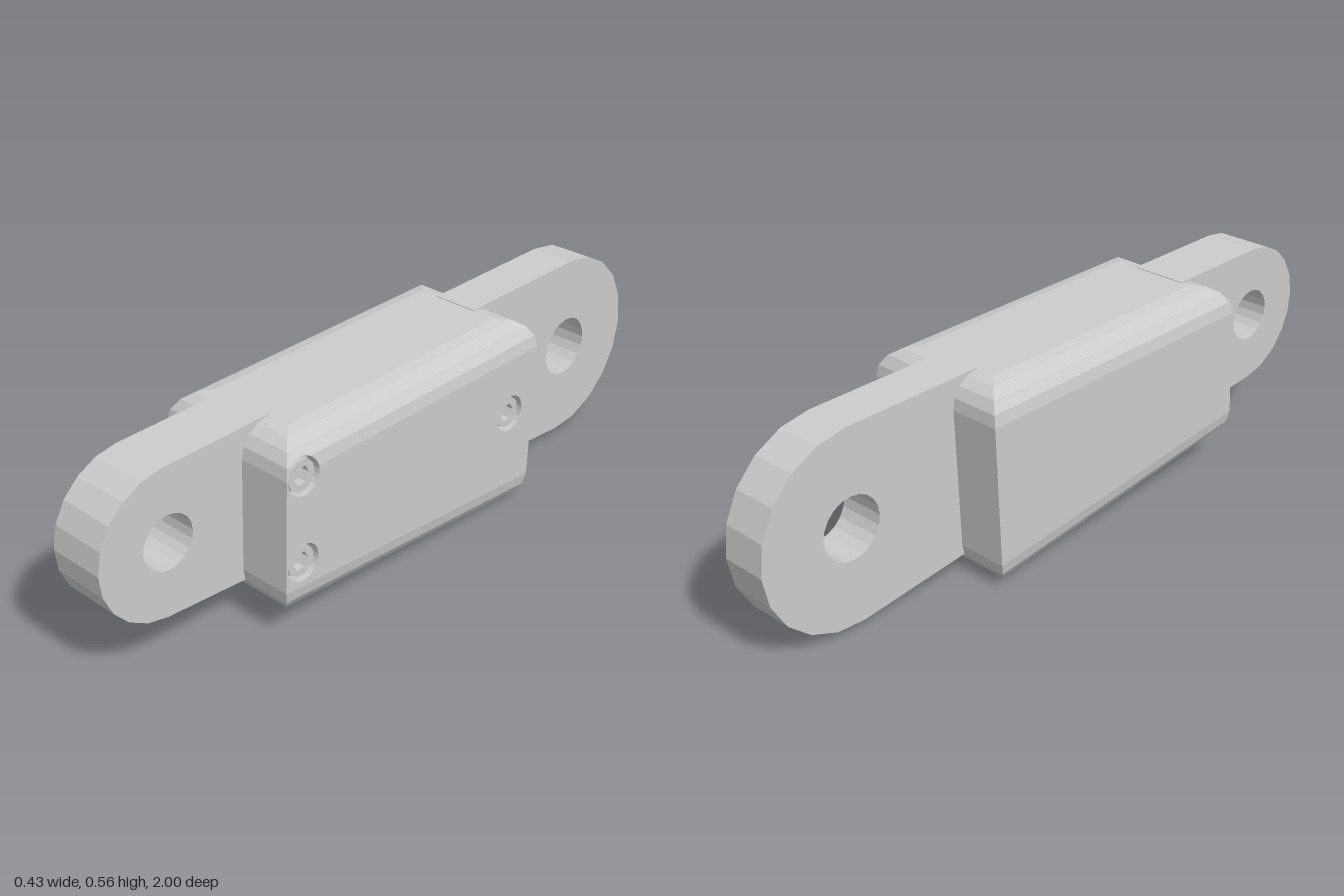
import * as THREE from 'three';

const W = 0.213, R = 0.085, TOP = 0.56, STEPS = 4;
const SLOPE = 0.089;
const bottomY = (z) => 0.026 + SLOPE * z;
const frontZ = (y) => 0.575 - 0.045 * y;
const backZ = (y) => -0.366 - 0.045 * y;

// Rounded edge profile: height from the flat face and inset from the wall
const fillet = Array.from({ length: STEPS + 1 }, (_, a) => {
  const t = (a / STEPS) * Math.PI / 2;
  return { h: R * (1 - Math.cos(t)), i: R * (1 - Math.sin(t)) };
});

function insetAt(h) {
  for (let a = 0; a < STEPS; a++) {
    const p = fillet[a], q = fillet[a + 1];
    if (h <= q.h) return p.i + (q.i - p.i) * Math.max(0, (h - p.h) / (q.h - p.h));
  }
  return 0;
}
const surfaceX = (z, y) => W - Math.max(insetAt(TOP - y), insetAt(y - bottomY(z)));

const screws = [[0.497, 0.465], [0.508, 0.225], [-0.28, 0.31]];
const HOLE = 0.052;

function flatGeometry(pos) {
  const g = new THREE.BufferGeometry();
  g.setAttribute('position', new THREE.Float32BufferAttribute(pos, 3));
  g.computeVertexNormals();
  return g;
}

function circle(z, y, r, n) {
  return Array.from({ length: n }, (_, k) => {
    const t = (k / n) * Math.PI * 2;
    return new THREE.Vector2(-z + r * Math.cos(t), y + r * Math.sin(t));
  });
}

// Split a convex polygon by the line where f(point) = 0
function split(poly, f) {
  const above = [], below = [];
  poly.forEach((p, k) => {
    const q = poly[(k + 1) % poly.length];
    const a = f(p), b = f(q);
    if (a > -1e-7) above.push(p);
    if (a < 1e-7) below.push(p);
    if ((a > 1e-7 && b < -1e-7) || (a < -1e-7 && b > 1e-7)) {
      const m = p.clone().lerp(q, a / (a - b));
      above.push(m);
      below.push(m);
    }
  });
  return [above, below].filter((s) => s.length > 2);
}

function bodyGeometry() {
  // Stacked rectangles, inset towards the top and the sloping bottom
  const ring = (i, yAt) => {
    const corner = (sx, end, d) => {
      let z = end(0.1) + d * i;
      z = end(yAt(z)) + d * i;
      return [sx * (W - i), yAt(z), z];
    };
    return [corner(1, frontZ, -1), corner(1, backZ, 1), corner(-1, backZ, 1), corner(-1, frontZ, -1)];
  };
  const rings = [
    ...fillet.map((f) => ring(f.i, (z) => bottomY(z) + f.h)),
    ...[...fillet].reverse().map((f) => ring(f.i, () => TOP - f.h)),
  ];
  const pos = [];
  const tri = (...pts) => pts.forEach((p) => pos.push(...p));
  for (let j = 0; j < rings.length - 1; j++) {
    const a = rings[j], b = rings[j + 1];
    for (let k = 1; k < 4; k++) {
      const n = (k + 1) % 4;
      tri(a[k], a[n], b[n], a[k], b[n], b[k]);
    }
  }
  const lo = rings[0], hi = rings[rings.length - 1];
  tri(hi[0], hi[1], hi[2], hi[0], hi[2], hi[3]);
  tri(lo[0], lo[2], lo[1], lo[0], lo[3], lo[2]);

  // Left wall with screw holes, folded along the rounded edges
  const outline = [
    ...rings.map((r) => r[0]),
    ...[...rings].reverse().map((r) => r[1]),
  ].map((p) => new THREE.Vector2(-p[2], p[1]));
  const shape = new THREE.Shape(outline);
  shape.holes = screws.map(([z, y]) => new THREE.Path(circle(z, y, HOLE, 24)));
  const flat = new THREE.ShapeGeometry(shape).toNonIndexed().attributes.position;
  let polys = [];
  for (let k = 0; k < flat.count; k += 3) {
    polys.push([0, 1, 2].map((d) => new THREE.Vector2(flat.getX(k + d), flat.getY(k + d))));
  }
  for (const { h } of fillet.slice(1)) {
    polys = polys.flatMap((p) => split(p, (v) => v.y - (TOP - h)));
    polys = polys.flatMap((p) => split(p, (v) => v.y - bottomY(-v.x) - h));
  }
  const lift = (v) => [surfaceX(-v.x, v.y), v.y, -v.x];
  for (const p of polys) {
    for (let k = 1; k < p.length - 1; k++) tri(lift(p[0]), lift(p[k]), lift(p[k + 1]));
  }
  return flatGeometry(pos);
}

// Extrude a side-view shape across x
function extrudeX(shape, x0, x1) {
  const g = new THREE.ExtrudeGeometry(shape, { depth: x1 - x0, bevelEnabled: false, curveSegments: 6 });
  return g.rotateY(Math.PI / 2).translate(x0, 0, 0);
}

// Round-ended plate with a pin hole; dir is +1 towards the front, -1 towards the back
function tongueGeometry(dir, cz, cy, r, hole, rootZ, x0, x1) {
  const tilt = Math.atan(SLOPE);
  const start = Math.PI / 2, sweep = Math.PI - dir * tilt;
  const pts = [new THREE.Vector2(-rootZ, cy + r)];
  const n = 10;
  for (let k = 0; k <= n; k++) {
    const t = start - (sweep * k) / n;
    pts.push(new THREE.Vector2(-(cz + dir * r * Math.cos(t)), cy + r * Math.sin(t)));
  }
  const end = pts[pts.length - 1];
  pts.push(new THREE.Vector2(-rootZ, end.y + SLOPE * (rootZ + end.x)));
  const shape = new THREE.Shape(pts);
  shape.holes.push(new THREE.Path(circle(cz, cy, hole, 20)));
  return extrudeX(shape, x0, x1);
}

export function createModel() {
  const model = new THREE.Group();
  const mat = new THREE.MeshStandardMaterial({ color: 0xcccccc, flatShading: true });
  const thin = new THREE.MeshStandardMaterial({ color: 0xcccccc, flatShading: true, side: THREE.DoubleSide });
  const add = (parent, name, geometry, material = mat) => {
    const m = new THREE.Mesh(geometry, material);
    m.name = name;
    parent.add(m);
  };

  add(model, 'body', bodyGeometry());
  add(model, 'frontTongue', tongueGeometry(1, 0.794, 0.356, 0.206, 0.076, 0.46, -0.102, 0.06));
  add(model, 'backTongue', tongueGeometry(-1, -0.728, 0.29, 0.272, 0.088, -0.3, -0.07, 0.06));

  // Socket-head screws sunk into the left wall
  const floorX = 0.175, headX = 0.204;
  screws.forEach(([z, y], s) => {
    const screw = new THREE.Group();
    screw.name = 'screw' + (s + 1);
    model.add(screw);

    const wall = new THREE.CylinderGeometry(HOLE, HOLE, 0.02, 24, 1, true)
      .rotateZ(-Math.PI / 2).translate(0.19, y, z);
    const p = wall.attributes.position;
    for (let k = 0; k < p.count; k++) {
      p.setX(k, p.getX(k) > 0.19 ? surfaceX(p.getZ(k), p.getY(k)) : floorX);
    }
    add(screw, 'counterbore', wall, thin);
    add(screw, 'counterboreFloor',
      new THREE.CircleGeometry(HOLE, 24).rotateY(Math.PI / 2).translate(floorX, y, z));

    const head = new THREE.Shape(circle(z, y, 0.043, 24));
    head.holes.push(new THREE.Path(circle(z, y, 0.026, 6)));
    add(screw, 'screwHead', extrudeX(head, floorX, headX));
    add(screw, 'socketFloor',
      new THREE.CircleGeometry(0.027, 6).rotateY(Math.PI / 2).translate(floorX + 0.006, y, z));
  });
  return model;
}
